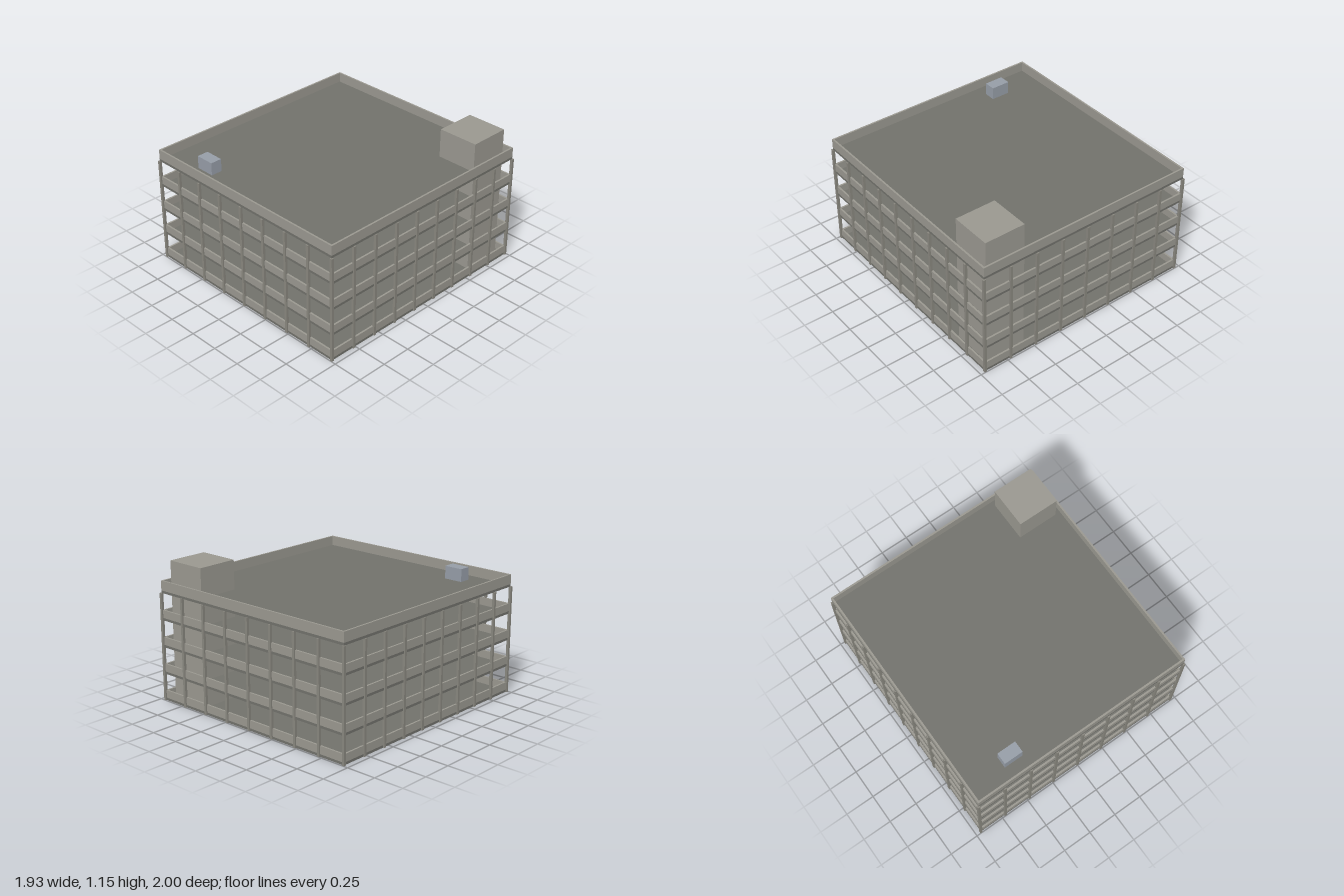
import * as THREE from 'three';

const HX = 0.955, HZ = 0.988;   // half footprint of the decks
const STOREY = 0.2225, LEVELS = 5, SLAB = 0.02, WALL = 0.015, POST = 0.021;

export function createModel() {
  const model = new THREE.Group();
  model.name = 'parkingGarage';

  const concrete = new THREE.MeshStandardMaterial({ color: 0x99978f });
  const deckGrey = new THREE.MeshStandardMaterial({ color: 0x71716b });
  const postGrey = new THREE.MeshStandardMaterial({ color: 0x88867e });
  const metal = new THREE.MeshStandardMaterial({ color: 0x959ca6 });

  // Box given by its size, centre x/z and bottom y
  function box(parent, name, material, w, h, d, x, y, z) {
    const mesh = new THREE.Mesh(new THREE.BoxGeometry(w, h, d), material);
    mesh.name = name;
    mesh.position.set(x, y + h / 2, z);
    parent.add(mesh);
  }

  // Decks, each ringed by a parapet; the roof parapet is a little taller
  for (let i = 0; i < LEVELS; i++) {
    const roof = i === LEVELS - 1;
    const level = new THREE.Group();
    level.name = roof ? 'roofLevel' : 'level' + i;
    level.position.y = i * STOREY;
    const h = roof ? 0.08 : 0.064;
    box(level, 'deck', deckGrey, 2 * HX, SLAB, 2 * HZ, 0, 0, 0);
    for (const s of [-1, 1]) {
      box(level, 'parapetLong', concrete, 2 * HX, h, WALL, 0, SLAB, s * (HZ - WALL / 2));
      box(level, 'parapetSide', concrete, WALL, h, 2 * (HZ - WALL), s * (HX - WALL / 2), SLAB, 0);
    }
    model.add(level);
  }

  // Columns around the perimeter, centred on the deck edge
  const columns = new THREE.Group();
  columns.name = 'columns';
  const top = (LEVELS - 1) * STOREY;
  const baysX = 8, baysZ = 9;
  for (const s of [-1, 1]) {
    for (let i = 0; i <= baysX; i++) {
      box(columns, 'column', postGrey, POST, top, POST, HX * (2 * i / baysX - 1), 0, s * HZ);
    }
    for (let i = 1; i < baysZ; i++) {
      box(columns, 'column', postGrey, POST, top, POST, s * HX, 0, HZ * (2 * i / baysZ - 1));
    }
  }
  model.add(columns);

  // Stair tower through all levels, and a rooftop ventilation unit
  box(model, 'stairTower', concrete, 0.345, 1.15, 0.345, 0.725, 0, -0.76);
  box(model, 'ventilationUnit', metal, 0.16, 0.105, 0.096, -0.55, 0.91, 0.817);

  return model;
}
